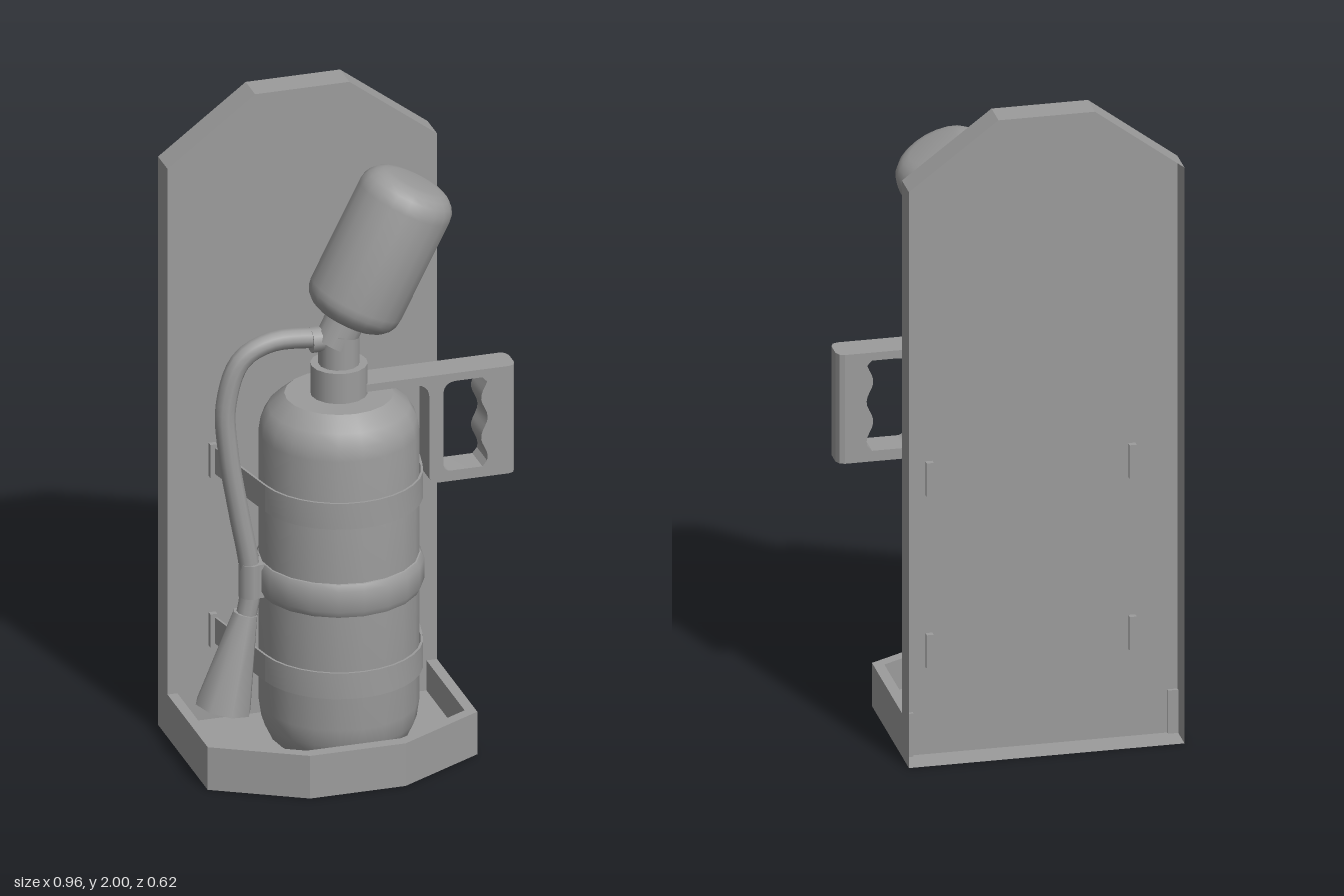
import * as THREE from 'three';
import { toCreasedNormals } from 'three/addons/utils/BufferGeometryUtils.js';

const GREY = 0x9c9c9c;
const grey = new THREE.MeshStandardMaterial({ color: GREY });
const greyDouble = new THREE.MeshStandardMaterial({ color: GREY, side: THREE.DoubleSide });
const V2 = (x, y) => new THREE.Vector2(x, y);
const V3 = (x, y, z) => new THREE.Vector3(x, y, z);
const shapeOf = (pts) => new THREE.Shape(pts.map(([x, y]) => V2(x, y)));

// tank axis
const AX = -0.045, AZ = 0.043;

export function createModel() {
  const root = new THREE.Group();

  const add = (name, geo, x = 0, y = 0, z = 0, mat = grey) => {
    const m = new THREE.Mesh(geo, mat);
    m.name = name;
    m.position.set(x, y, z);
    root.add(m);
    return m;
  };

  // thin sheet swept from each point along an offset vector
  const ribbon = (pts, offset) => {
    const pos = [], idx = [];
    pts.forEach((p, i) => {
      pos.push(...p.toArray(), ...p.clone().add(offset).toArray());
      if (i) idx.push(2 * i - 2, 2 * i, 2 * i - 1, 2 * i - 1, 2 * i, 2 * i + 1);
    });
    const g = new THREE.BufferGeometry();
    g.setAttribute('position', new THREE.Float32BufferAttribute(pos, 3));
    g.setIndex(idx);
    return toCreasedNormals(g, 0.4);
  };

  const lathe = (pts, sides) =>
    toCreasedNormals(new THREE.LatheGeometry(pts.map(([r, y]) => V2(r, y)), sides), 0.6);

  // extrude an x/z plan upward
  const plan = (pts, height) => {
    const g = new THREE.ExtrudeGeometry(shapeOf(pts.map(([x, z]) => [x, -z])),
      { depth: height, bevelEnabled: false });
    return toCreasedNormals(g.rotateX(-Math.PI / 2), 0.4);
  };

  // back board: front panel with a folded rim, open at the rear
  const board = [[-0.48, 0], [0.335, 0], [0.335, 1.8], [0.07, 2], [-0.215, 2], [-0.48, 1.8]];
  add('backPanel', new THREE.ShapeGeometry(shapeOf(board)), 0, 0, -0.22, greyDouble);
  add('backPanelRim', ribbon([...board, board[0]].map(([x, y]) => V3(x, y, -0.22)),
    V3(0, 0, -0.09)), 0, 0, 0, greyDouble);

  // tray at the foot, its wall ends poking through the panel
  const outer = [[-0.48, -0.23], [-0.48, 0.163], [-0.217, 0.31], [0.072, 0.31], [0.335, 0.163], [0.335, -0.23]];
  const inner = [[0.303, -0.23], [0.303, 0.143], [0.07, 0.272], [-0.215, 0.272], [-0.45, 0.143], [-0.45, -0.23]];
  add('trayWall', plan([...outer, ...inner], 0.135));
  add('trayFloor', plan(outer.map(([x, z]) => [x, Math.max(z, -0.22)]), 0.04));

  // tank with rounded shoulders, and its raised middle band
  add('tank', lathe([[0, 0.04], [0.155, 0.04], [0.2, 0.075], [0.224, 0.125], [0.232, 0.18],
    [0.232, 1.03], [0.226, 1.07], [0.205, 1.107], [0.158, 1.147], [0, 1.147]], 20), AX, 0, AZ);
  add('tankBand', lathe([[0.225, 0.535], [0.236, 0.54], [0.246, 0.56], [0.246, 0.625],
    [0.236, 0.643], [0.225, 0.647]], 20), AX, 0, AZ);

  // straps round the tank, running straight back to the panel
  const strapLine = (inset) => {
    const pts = [[-0.345 + inset, -0.22]];
    for (let i = 0; i <= 18; i++) {
      const a = Math.PI * (1.067 - 1.134 * i / 18 - (i === 0 ? 0.13 : 0) + (i === 18 ? 0.13 : 0));
      if (i === 1 || i === 17) continue;
      pts.push([AX + (0.243 - inset) * Math.cos(a), AZ + (0.243 - inset) * Math.sin(a)]);
    }
    pts.push([0.255 - inset, -0.22]);
    return pts;
  };
  for (const y of [0.285, 0.822]) {
    add('strap', plan([...strapLine(0), ...strapLine(0.007).reverse()], 0.082), 0, y, 0);
    for (const x of [-0.345, 0.255]) {
      add('strapAnchor', new THREE.BoxGeometry(0.021, 0.105, 0.034), x, y + 0.041, -0.22);
    }
  }

  // collar, neck and elbow
  add('collar', new THREE.CylinderGeometry(0.083, 0.083, 0.1, 16), AX, 1.192, AZ);
  add('neck', new THREE.CylinderGeometry(0.06, 0.06, 0.11, 14), AX, 1.29, AZ);
  const tilt = -0.47;
  const elbow = add('neckElbow', new THREE.CylinderGeometry(0.06, 0.06, 0.12, 14), -0.035, 1.358, AZ);
  elbow.rotation.z = tilt;

  // tilted bottle on top, both ends rounded
  const bottleEnd = [];
  for (let i = 0; i <= 5; i++) {
    const a = (i / 5) * Math.PI / 2;
    bottleEnd.push([0.075 + 0.07 * Math.cos(a), 0.16 + 0.07 * Math.sin(a)]);
  }
  bottleEnd.push([0, 0.23]);
  const bottleStart = bottleEnd.map(([r, y]) => [r, -y]).reverse();
  const bottle = add('upperBottle', lathe([...bottleStart, ...bottleEnd], 20), 0.081, 1.58, 0.04);
  bottle.rotation.z = tilt;

  // hose with its fitting and clip
  const path = new THREE.CatmullRomCurve3([[-0.08, 1.325], [-0.25, 1.332], [-0.34, 1.285], [-0.385, 1.15],
    [-0.378, 1.0], [-0.345, 0.8], [-0.316, 0.64], [-0.312, 0.55], [-0.325, 0.47]]
    .map(([x, y]) => V3(x, y, 0.038)));
  add('hose', new THREE.TubeGeometry(path, 40, 0.03, 10));
  add('hoseFitting', new THREE.CylinderGeometry(0.038, 0.038, 0.06, 10).rotateZ(Math.PI / 2), -0.1, 1.322, 0.038);
  add('hoseClip', new THREE.CylinderGeometry(0.037, 0.037, 0.105, 8), -0.31, 0.592, 0.038);
  add('hoseClipMount', new THREE.BoxGeometry(0.05, 0.105, 0.06), -0.285, 0.592, 0.038);

  // discharge horn
  const horn = add('horn', new THREE.CylinderGeometry(0.037, 0.085, 0.297, 8), -0.36, 0.341, 0.038);
  horn.rotation.z = -0.23;

  // carrying handle: arm and looped grip with finger bumps
  const grip = new THREE.Shape();
  grip.moveTo(0, 1.157);
  grip.lineTo(0.165, 1.157);
  grip.quadraticCurveTo(0.215, 1.157, 0.215, 1.11);
  grip.lineTo(0.215, 0.865);
  grip.quadraticCurveTo(0.215, 0.84, 0.24, 0.84);
  grip.lineTo(0.455, 0.84);
  grip.lineTo(0.455, 1.18);
  grip.lineTo(0, 1.18);
  const hole = new THREE.Path();
  hole.moveTo(0.257, 0.9);
  hole.lineTo(0.257, 1.115);
  hole.quadraticCurveTo(0.257, 1.155, 0.297, 1.155);
  hole.lineTo(0.375, 1.155);
  for (let i = 0; i <= 18; i++) {
    const t = i / 18;
    hole.lineTo(0.381 - 0.01 * Math.cos((t - 0.2) * Math.PI * 4), 1.14 - 0.25 * t);
  }
  hole.lineTo(0.375, 0.873);
  hole.lineTo(0.28, 0.873);
  hole.quadraticCurveTo(0.257, 0.873, 0.257, 0.9);
  grip.holes.push(hole);
  add('handle', toCreasedNormals(new THREE.ExtrudeGeometry(grip,
    { depth: 0.097, bevelEnabled: false, curveSegments: 6 }), 0.5), 0, 0, -0.011);

  // rounded outer edge of the grip
  add('handleOuterEdge', plan([[0.455, -0.011], [0.455, 0.086], [0.47, 0.08], [0.478, 0.062],
    [0.478, 0.013], [0.47, -0.005]], 0.34), 0, 0.84, 0);

  return root;
}
